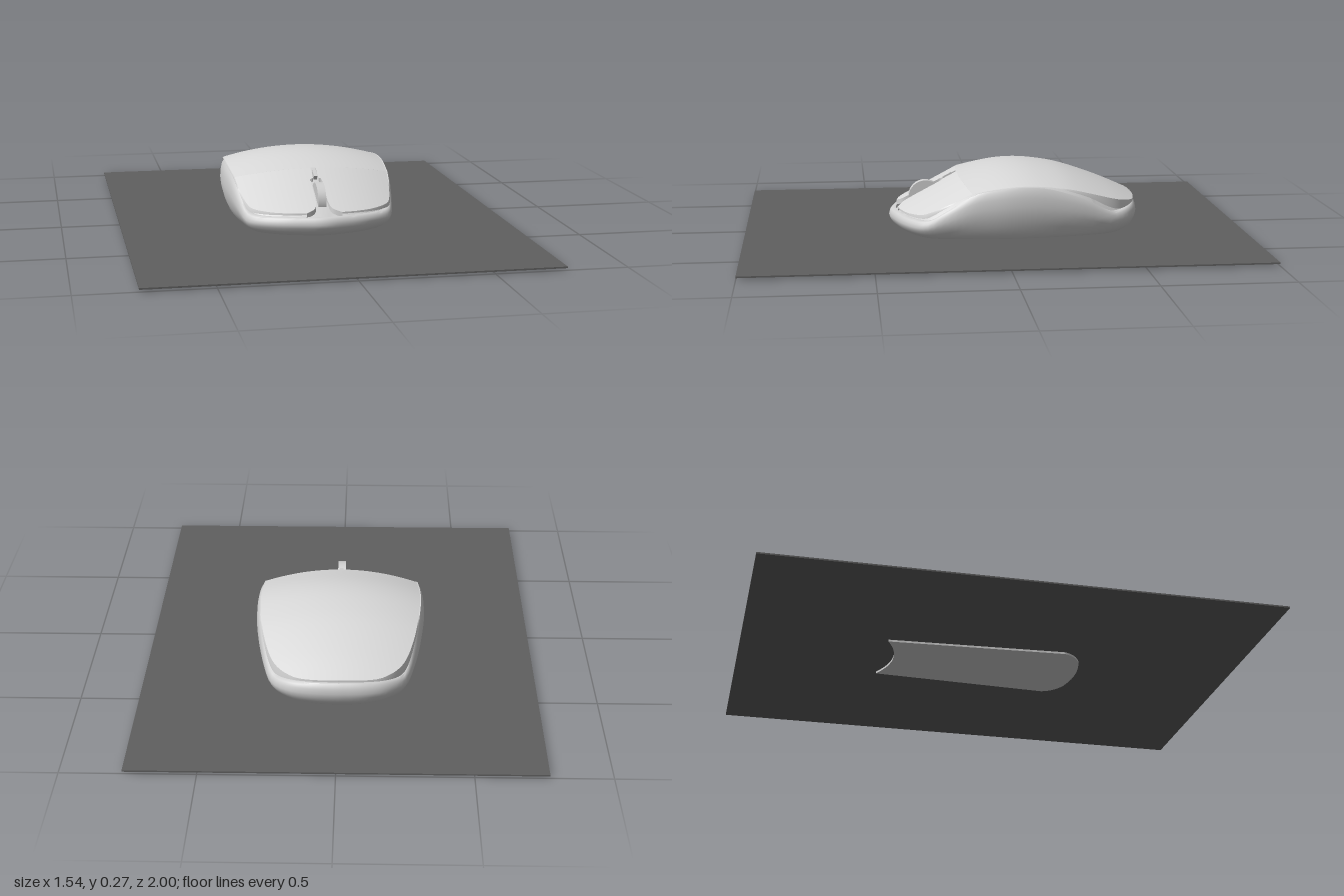
import * as THREE from 'three';
import { toCreasedNormals } from 'three/addons/utils/BufferGeometryUtils.js';

const mat = (name, color) => {
  const m = new THREE.MeshStandardMaterial({ color, side: THREE.DoubleSide });
  m.name = name;
  return m;
};

// Smooth interpolation through [z, y] points with rising z
function smooth(pts, z) {
  const n = pts.length;
  if (z <= pts[0][0]) return pts[0][1];
  if (z >= pts[n - 1][0]) return pts[n - 1][1];
  let i = 0;
  while (z > pts[i + 1][0]) i++;
  const slope = (j) => {
    const a = pts[Math.max(j - 1, 0)], b = pts[Math.min(j + 1, n - 1)];
    return (b[1] - a[1]) / (b[0] - a[0]);
  };
  const [z0, y0] = pts[i], [z1, y1] = pts[i + 1];
  const h = z1 - z0, t = (z - z0) / h, t2 = t * t, t3 = t2 * t;
  return y0 * (2 * t3 - 3 * t2 + 1) + y1 * (3 * t2 - 2 * t3)
    + slope(i) * h * (t3 - 2 * t2 + t) + slope(i + 1) * h * (t3 - t2);
}

// Grid surface from fn(u, v) -> [x, y, z]
function grid(nu, nv, fn) {
  const pos = [], idx = [];
  for (let j = 0; j <= nv; j++)
    for (let i = 0; i <= nu; i++) pos.push(...fn(i / nu, j / nv));
  for (let j = 0; j < nv; j++)
    for (let i = 0; i < nu; i++) {
      const a = j * (nu + 1) + i, b = a + 1, c = a + nu + 1, d = c + 1;
      idx.push(a, c, b, b, c, d);
    }
  const g = new THREE.BufferGeometry();
  g.setAttribute('position', new THREE.Float32BufferAttribute(pos, 3));
  g.setIndex(idx);
  g.computeVertexNormals();
  return g;
}

const curve = (pts) => new THREE.SplineCurve(pts.map(([x, z]) => new THREE.Vector2(x, z)));

// Heights: centre line of the cover, and seam between body and cover
const CROWN = [[-0.6, 0.13], [-0.45, 0.195], [-0.3, 0.247], [-0.2, 0.267], [-0.1, 0.275], [0, 0.267], [0.15, 0.235]];
const SEAM = [[-0.59, 0.125], [-0.5, 0.106], [-0.45, 0.117], [-0.35, 0.168], [-0.2, 0.215], [-0.1, 0.225],
  [0, 0.217], [0.1, 0.198], [0.22, 0.127], [0.29, 0.09], [0.42, 0.09]];
const seam = (z) => smooth(SEAM, z);
const crease = (x) => 0.145 - 0.4 * x * x;
function top(x, z) {
  const zc = crease(x);
  return smooth(CROWN, Math.min(z, zc)) - 0.53 * Math.max(0, z - zc) - 0.45 * x * x;
}

export function createModel() {
  const root = new THREE.Group();
  root.name = 'mouseOnMat';
  const padMat = mat('dark grey', 0x606060);
  const bodyMat = mat('light grey', 0xd0d0d0);
  const coverMat = mat('pale grey', 0xd8d8d8);
  const add = (name, geo, material) => {
    const m = new THREE.Mesh(geo, material);
    m.name = name;
    root.add(m);
    return m;
  };

  // Mat
  add('mat', new THREE.BoxGeometry(1.54, 0.006, 2), padMat).position.y = 0.011;

  // Body: outline swept through inset rings, closed below and under the cover
  const half = [[0.1, -0.583], [0.19, -0.553], [0.263, -0.48], [0.305, -0.35], [0.33, -0.2], [0.34, -0.05],
    [0.333, 0.08], [0.315, 0.19], [0.29, 0.285], [0.245, 0.335], [0.17, 0.378], [0.085, 0.405]];
  const outline = curve([[0, -0.59], ...half, [0, 0.42], ...half.map(([x, z]) => [-x, z]).reverse(), [0, -0.59]]);
  const rings = [[0.34, 0], [0.15, 0], [0.055, 0], [0.042, 0.04], [0.03, 0.12], [0.015, 0.28], [0.004, 0.48],
    [0, 0.65], [0.003, 0.82], [0.008, 0.94], [0.015, 1], [0.028, 1], [0.032, 0.9]];
  const caps = [0.82, 0.65, 0.45, 0.25, 0];
  const count = rings.length + caps.length - 1;
  const body = grid(96, count, (u, v) => {
    const p = outline.getPoint(u), r = Math.round(v * count);
    if (r < rings.length) {
      const [inset, f] = rings[r];
      const y = 0.01 + (seam(p.y) - 0.01) * f;
      return [p.x * (1 - inset / 0.34), y, -0.085 + (p.y + 0.085) * (inset === 0.34 ? 0 : 1 - inset / 0.505)];
    }
    const s = caps[r - rings.length], x = p.x * s, z = -0.085 + (p.y + 0.085) * s;
    return [x, top(x, z) - 0.014, z];
  });
  add('body', toCreasedNormals(body, 0.75), bodyMat);

  // Underside plate
  const plate = new THREE.Shape();
  plate.moveTo(-0.16, -0.43);
  plate.quadraticCurveTo(0, -0.34, 0.16, -0.43);
  plate.lineTo(0.195, 0.28);
  plate.quadraticCurveTo(0.18, 0.33, 0.12, 0.355);
  plate.quadraticCurveTo(0, 0.39, -0.12, 0.355);
  plate.quadraticCurveTo(-0.18, 0.33, -0.195, 0.28);
  plate.closePath();
  const plateGeo = new THREE.ExtrudeGeometry(plate, { depth: 0.012, bevelEnabled: false, curveSegments: 12 });
  plateGeo.rotateX(Math.PI / 2).translate(0, 0.012, 0);
  add('undersidePlate', plateGeo, bodyMat);

  // Edge wall hanging from the cover to the seam
  const wall = (path, side, low) => grid(48, 2, (u, v) => {
    const p = path.getPoint(u), y0 = top(p.x, p.y);
    const y1 = Math.min(y0, low(p, y0));
    return [side * p.x * (1 + 0.012 * Math.sin(v * Math.PI / 2)), y0 + (y1 - y0) * v, p.y];
  });
  const toSeam = (p) => seam(p.y) + 0.01;

  // Palm cover
  const palmEdge = curve([[0, -0.577], [0.1, -0.571], [0.18, -0.545], [0.25, -0.475], [0.292, -0.35],
    [0.314, -0.2], [0.321, -0.05], [0.312, 0.106]]);
  add('palmCover', grid(32, 48, (u, v) => {
    const p = palmEdge.getPoint(v), s = u * 2 - 1, x = s * p.x;
    const z = p.y + 0.039 * v ** 4 * (1 - s * s);
    return [x, top(x, z), z];
  }), coverMat);

  // Front buttons, split by the wheel slot
  const outer = curve([[0.312, 0.106], [0.302, 0.19], [0.286, 0.265], [0.262, 0.305], [0.2, 0.347],
    [0.13, 0.374], [0.07, 0.386]]);
  const inner = curve([[0.011, 0.145], [0.011, 0.2], [0.022, 0.21], [0.023, 0.27], [0.024, 0.33],
    [0.035, 0.367], [0.07, 0.386]]);
  for (const [side, label] of [[1, 'left'], [-1, 'right']]) {
    add(label + 'Button', grid(16, 36, (u, v) => {
      const a = inner.getPoint(v), b = outer.getPoint(v);
      const x = a.x + (b.x - a.x) * u, z = b.y + (a.y - b.y) * (1 - u * u);
      return [side * x, top(x, z), z];
    }), coverMat);
    add(label + 'PalmEdge', wall(palmEdge, side, toSeam), coverMat);
    add(label + 'ButtonEdge', wall(outer, side, toSeam), coverMat);
    add(label + 'SlotEdge', wall(inner, side, (p, y) => y - 0.02), coverMat);
  }

  // Scroll wheel and the small key behind it
  const wheel = add('scrollWheel', new THREE.CylinderGeometry(0.068, 0.068, 0.032, 40), bodyMat);
  wheel.rotation.z = Math.PI / 2;
  wheel.position.set(0, 0.133, 0.272);
  const key = add('modeKey', new THREE.BoxGeometry(0.014, 0.02, 0.04), bodyMat);
  key.position.set(0, 0.214, 0.178);
  key.rotation.x = 0.49;
  return root;
}
